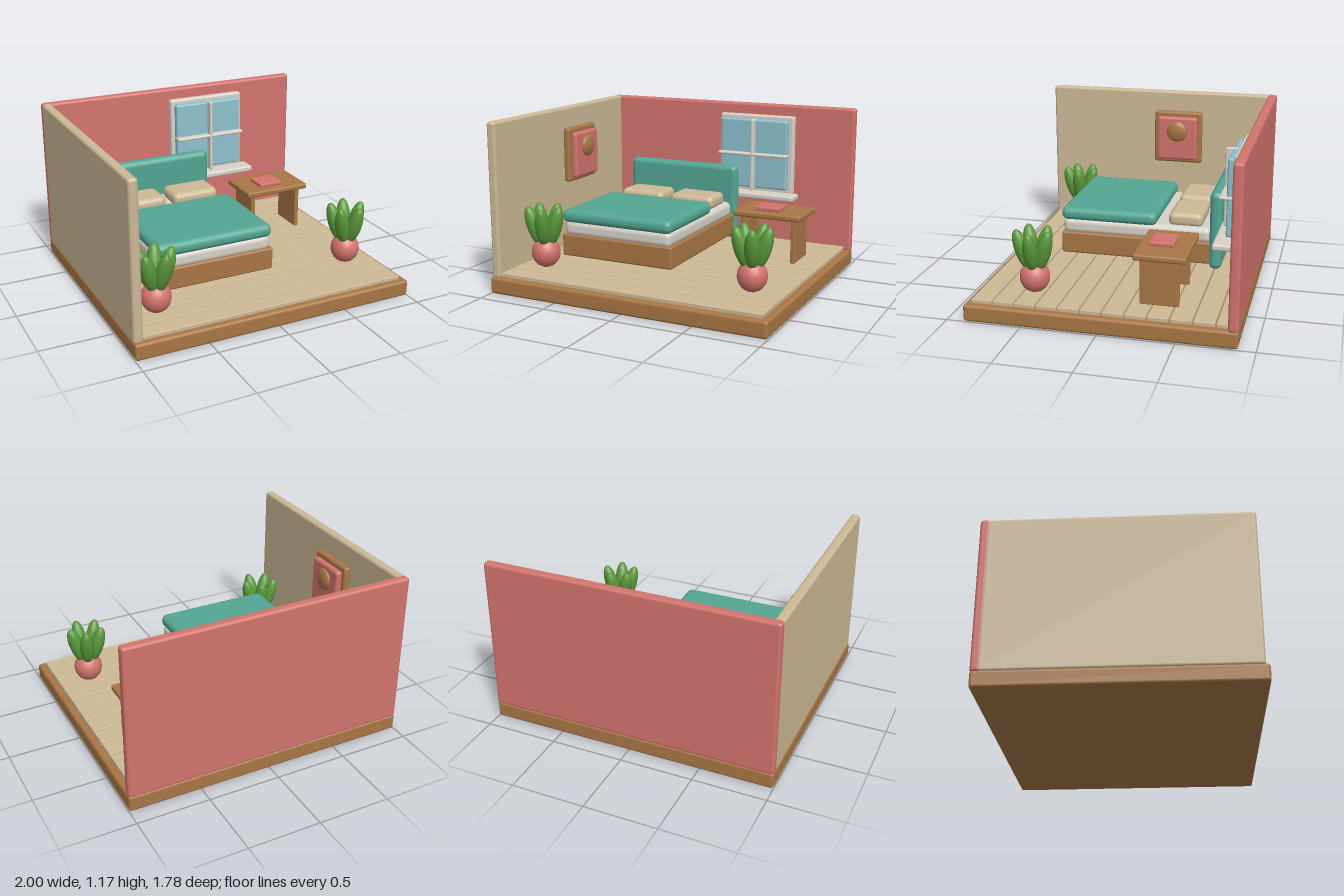
import * as THREE from 'three';
import { RoundedBoxGeometry } from 'three/addons/geometries/RoundedBoxGeometry.js';

function material(name, color) {
  const m = new THREE.MeshStandardMaterial({ color });
  m.name = name;
  return m;
}

export function createModel() {
  const room = new THREE.Group();
  room.name = 'bedroom';

  const wood = material('wood brown', 0xa87645);
  const cream = material('cream', 0xcbb895);
  const pink = material('coral pink', 0xd2736d);
  const teal = material('teal', 0x52a593);
  const white = material('off white', 0xd6d2c8);
  const glass = material('sky blue', 0x8dc0ce);
  const green = material('leaf green', 0x5a983a);

  const group = (name) => {
    const g = new THREE.Group();
    g.name = name;
    room.add(g);
    return g;
  };

  // Rounded box given by its low and high extent on each axis
  const box = (parent, name, mat, [x0, x1], [y0, y1], [z0, z1], radius = 0.012) => {
    const geo = new RoundedBoxGeometry(x1 - x0, y1 - y0, z1 - z0, 3, radius);
    const mesh = new THREE.Mesh(geo, mat);
    mesh.name = name;
    mesh.position.set((x0 + x1) / 2, (y0 + y1) / 2, (z0 + z1) / 2);
    parent.add(mesh);
    return mesh;
  };

  const ellipsoid = (parent, name, mat, [rx, ry, rz], [x, y, z]) => {
    const mesh = new THREE.Mesh(new THREE.SphereGeometry(1, 28, 18), mat);
    mesh.name = name;
    mesh.scale.set(rx, ry, rz);
    mesh.position.set(x, y, z);
    parent.add(mesh);
    return mesh;
  };

  // Base slab and two walls
  const shell = group('roomShell');
  box(shell, 'base', wood, [-1, 1], [0, 0.115], [-0.888, 0.888], 0.02);
  box(shell, 'backWall', pink, [-1, 1], [0.105, 1.17], [-0.888, -0.822], 0.02);
  box(shell, 'rightWall', cream, [-1, -0.935], [0.105, 1.17], [-0.845, 0.862], 0.02);

  // Floor planks running across the room
  const floor = group('floor');
  const pitch = 0.1447;
  for (let i = 0; i < 12; i++) {
    const z = -0.888 + i * pitch;
    box(floor, 'plank', cream, [-0.95, 0.952], [0.11, 0.14], [z + 0.005, z + pitch - 0.005], 0.005);
  }

  // Bed
  const bed = group('bed');
  box(bed, 'bedFrame', wood, [-0.68, 0.165], [0.205, 0.36], [-0.58, 0.477], 0.015);
  box(bed, 'headboard', teal, [-0.705, 0.18], [0.172, 0.725], [-0.657, -0.57], 0.04);
  box(bed, 'mattress', white, [-0.667, 0.15], [0.345, 0.455], [-0.575, 0.47], 0.04);
  box(bed, 'blanket', teal, [-0.68, 0.157], [0.44, 0.533], [-0.198, 0.483], 0.042);
  for (const x of [-0.462, -0.055]) {
    box(bed, 'pillow', cream, [x - 0.173, x + 0.173], [0.44, 0.54], [-0.515, -0.275], 0.04);
  }

  // Bedside table with a book
  const table = group('bedsideTable');
  box(table, 'tableTop', wood, [0.322, 0.82], [0.448, 0.49], [-0.53, -0.187], 0.014);
  for (const x of [0.384, 0.757]) {
    box(table, 'tableSide', wood, [x - 0.017, x + 0.017], [0.14, 0.46], [-0.482, -0.225], 0.008);
  }
  box(table, 'book', pink, [0.458, 0.642], [0.488, 0.516], [-0.42, -0.255], 0.008);

  // Window with crossed bars and a sill
  const win = group('window');
  box(win, 'windowFrame', white, [-0.035, 0.553], [0.505, 1.09], [-0.83, -0.773], 0.015);
  box(win, 'windowPane', glass, [-0.008, 0.518], [0.54, 1.06], [-0.78, -0.727], 0.015);
  box(win, 'verticalBar', white, [0.246, 0.27], [0.527, 1.067], [-0.765, -0.679], 0.01);
  box(win, 'horizontalBar', white, [-0.015, 0.528], [0.79, 0.812], [-0.765, -0.679], 0.01);
  box(win, 'windowSill', white, [-0.085, 0.598], [0.472, 0.515], [-0.79, -0.652], 0.014);

  // Framed picture on the side wall
  const picture = group('picture');
  box(picture, 'pictureFrame', wood, [-0.94, -0.885], [0.62, 1.022], [-0.332, 0.038], 0.02);
  box(picture, 'pictureMat', pink, [-0.895, -0.843], [0.65, 0.985], [-0.3, 0.008], 0.02);
  ellipsoid(picture, 'pictureDisc', wood, [0.031, 0.079, 0.079], [-0.841, 0.875, -0.147]);

  // Potted plants, each with five leaves fanning out from a round pot
  const leafCount = 5;
  const tilt = 0.3;
  for (const [x, z] of [[-0.74, 0.59], [0.74, 0.48]]) {
    const plant = group('plant');
    plant.position.set(x, 0, z);
    ellipsoid(plant, 'pot', pink, [0.099, 0.105, 0.099], [0, 0.25, 0]);
    for (let i = 0; i < leafCount; i++) {
      const turn = new THREE.Group();
      turn.name = 'leafTurn';
      turn.rotation.y = (i / leafCount) * Math.PI * 2;
      plant.add(turn);
      const leaf = ellipsoid(turn, 'leaf', green, [0.05, 0.145, 0.05], [0.075, 0.437, 0]);
      leaf.rotation.z = -tilt;
    }
  }

  return room;
}
